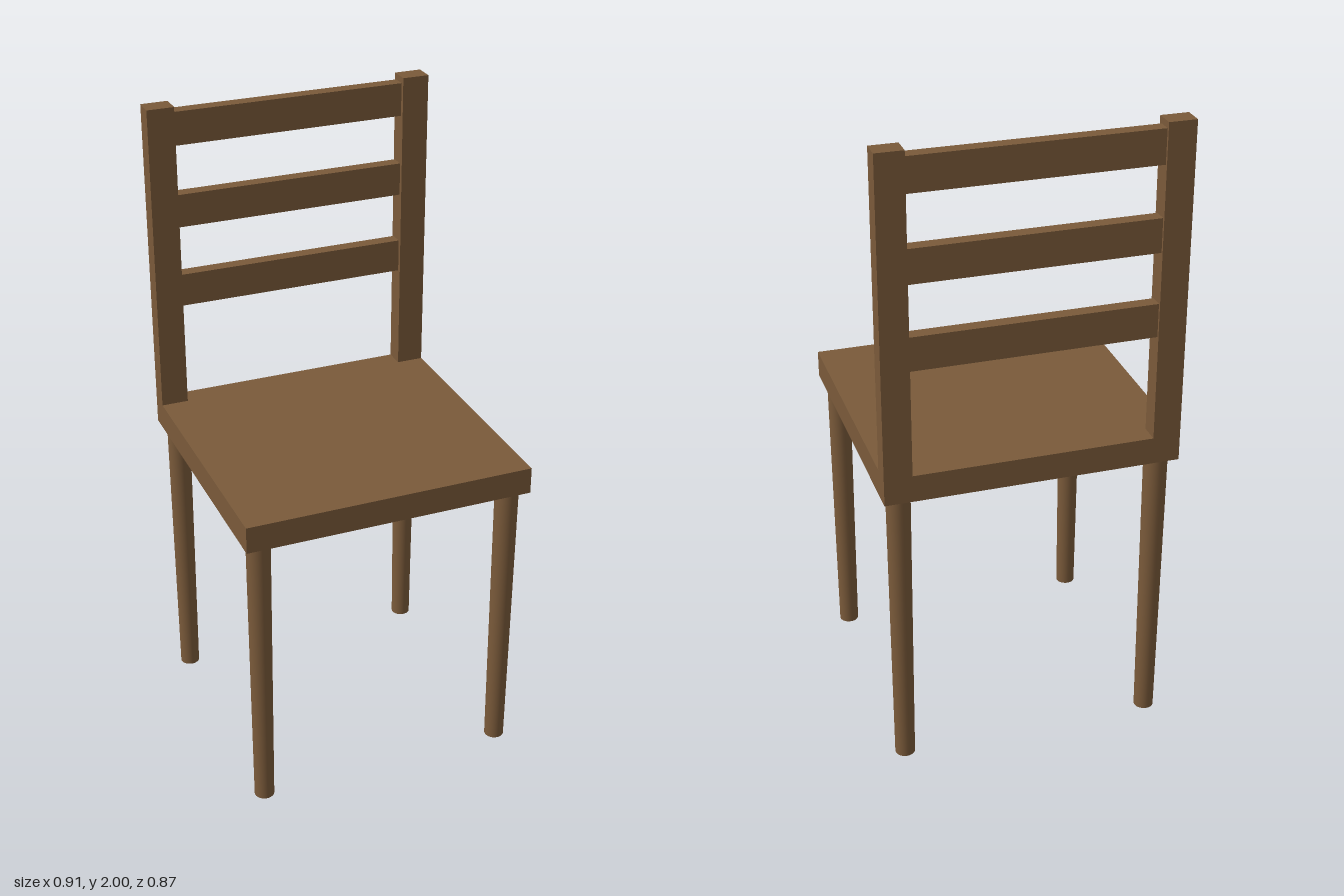
import * as THREE from 'three';

export function createModel() {
  const chair = new THREE.Group();
  chair.name = 'chair';
  const wood = new THREE.MeshStandardMaterial({ color: 0x7a5a3a });
  wood.name = 'brown wood';

  const add = (name, geometry, x, y, z) => {
    const mesh = new THREE.Mesh(geometry, wood);
    mesh.name = name;
    mesh.position.set(x, y, z);
    chair.add(mesh);
  };

  // Seat slab
  add('seat', new THREE.BoxGeometry(0.91, 0.085, 0.866), 0, 0.9775, 0);

  for (const [side, s] of [['left', 1], ['right', -1]]) {
    // Tapered round legs
    for (const [end, e] of [['front', 1], ['back', -1]]) {
      add(`${end} ${side} leg`, new THREE.CylinderGeometry(0.037, 0.031, 0.936, 32), s * 0.402, 0.468, e * 0.381);
    }
    // Backrest post
    add(`${side} back post`, new THREE.BoxGeometry(0.085, 0.98, 0.063), s * 0.4125, 1.51, -0.4015);
  }

  // Backrest slats between the posts
  [1.403, 1.666, 1.928].forEach((y, i) => {
    add(`back slat ${i + 1}`, new THREE.BoxGeometry(0.74, 0.105, 0.042), 0, y, -0.404);
  });

  return chair;
}
